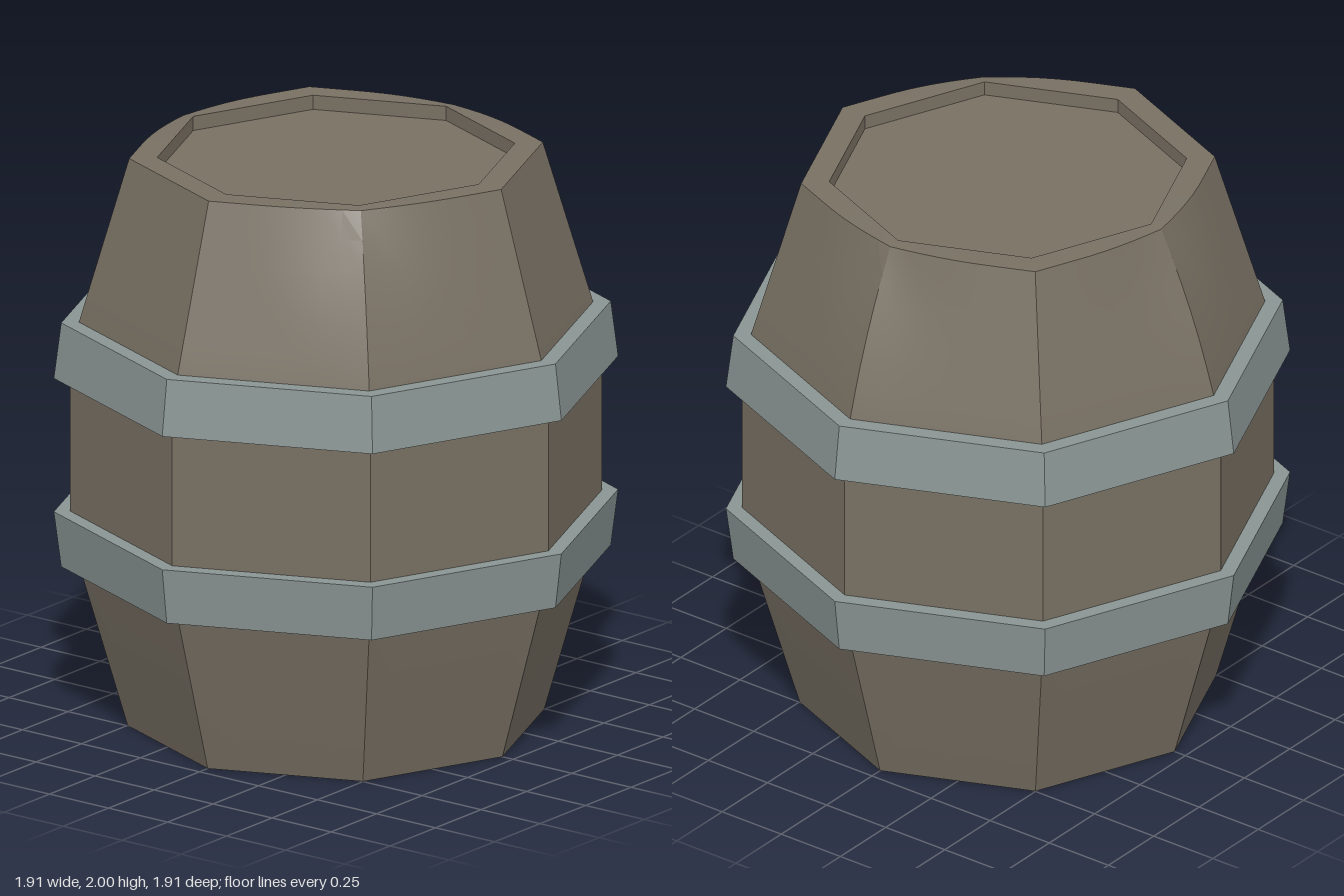
import * as THREE from 'three';
import { toCreasedNormals } from 'three/addons/utils/BufferGeometryUtils.js';

const SIDES = 8;
const STEP = (Math.PI * 2) / SIDES;
const wood = new THREE.MeshStandardMaterial({ color: 0x787063 });
const iron = new THREE.MeshStandardMaterial({ color: 0x8a9594 });

// Revolves [radius, height] pairs, then flattens the round into an octagon
function octagonLathe(profile, perSide) {
  const points = profile.map(([r, y]) => new THREE.Vector2(r, y));
  const geometry = new THREE.LatheGeometry(points, SIDES * perSide);
  const pos = geometry.attributes.position;
  for (let i = 0; i < pos.count; i++) {
    const x = pos.getX(i), z = pos.getZ(i);
    const a = Math.atan2(x, z) + Math.PI * 2 + 1e-6;
    const k = Math.cos(STEP / 2) / Math.cos((a % STEP) - STEP / 2);
    pos.setXYZ(i, x * k, pos.getY(i), z * k);
  }
  return geometry;
}

// Worn corners on the upper rim: back, right and front-left
const chips = [[0, -0.7], [-0.7, 0], [0.495, 0.495]].map(([x, z]) => new THREE.Vector3(x, 2, z));

function wearRim(geometry) {
  const pos = geometry.attributes.position;
  const p = new THREE.Vector3();
  for (let i = 0; i < pos.count; i++) {
    p.fromBufferAttribute(pos, i);
    const r = Math.hypot(p.x, p.z);
    if (p.y < 1.45 || r < 0.62) continue;
    for (const chip of chips) {
      const along = Math.hypot(p.x / r - chip.x / 0.7, p.z / r - chip.z / 0.7) * 0.7;
      const d = Math.hypot(along * 1.3, 2 - p.y);
      const pull = 0.052 * Math.max(0, 1 - d / 0.5) ** 2;
      const k = 1 - pull / r;
      p.set(p.x * k, p.y - pull * 0.1, p.z * k);
    }
    pos.setXYZ(i, p.x, p.y, p.z);
  }
  return geometry;
}

export function createModel() {
  const barrel = new THREE.Group();
  barrel.name = 'barrel';

  // Staves with recessed ends; extra rings above the upper hoop carry the wear
  const profile = [
    [0, 0.05], [0.605, 0.05], [0.605, 0], [0.705, 0],
    [0.87, 0.575], [0.9, 0.7], [0.9, 1.3], [0.87, 1.43],
  ];
  for (let i = 1; i <= 6; i++) profile.push([0.87 - (0.17 * i) / 6, 1.43 + (0.57 * i) / 6]);
  profile.push([0.605, 2], [0.605, 1.95], [0, 1.95]);
  const body = new THREE.Mesh(toCreasedNormals(wearRim(octagonLathe(profile, 8)), 0.2), wood);
  body.name = 'staves';
  barrel.add(body);

  // Two mirrored iron hoops, wider toward the belly
  for (const side of [1, -1]) {
    const section = [
      [0.86, 1 + side * 0.235], [0.955, 1 + side * 0.235],
      [0.93, 1 + side * 0.43], [0.86, 1 + side * 0.43],
    ];
    if (side < 0) section.reverse();
    const hoop = new THREE.Mesh(toCreasedNormals(octagonLathe(section, 1), 0.2), iron);
    hoop.name = side > 0 ? 'upperHoop' : 'lowerHoop';
    barrel.add(hoop);
  }
  return barrel;
}
